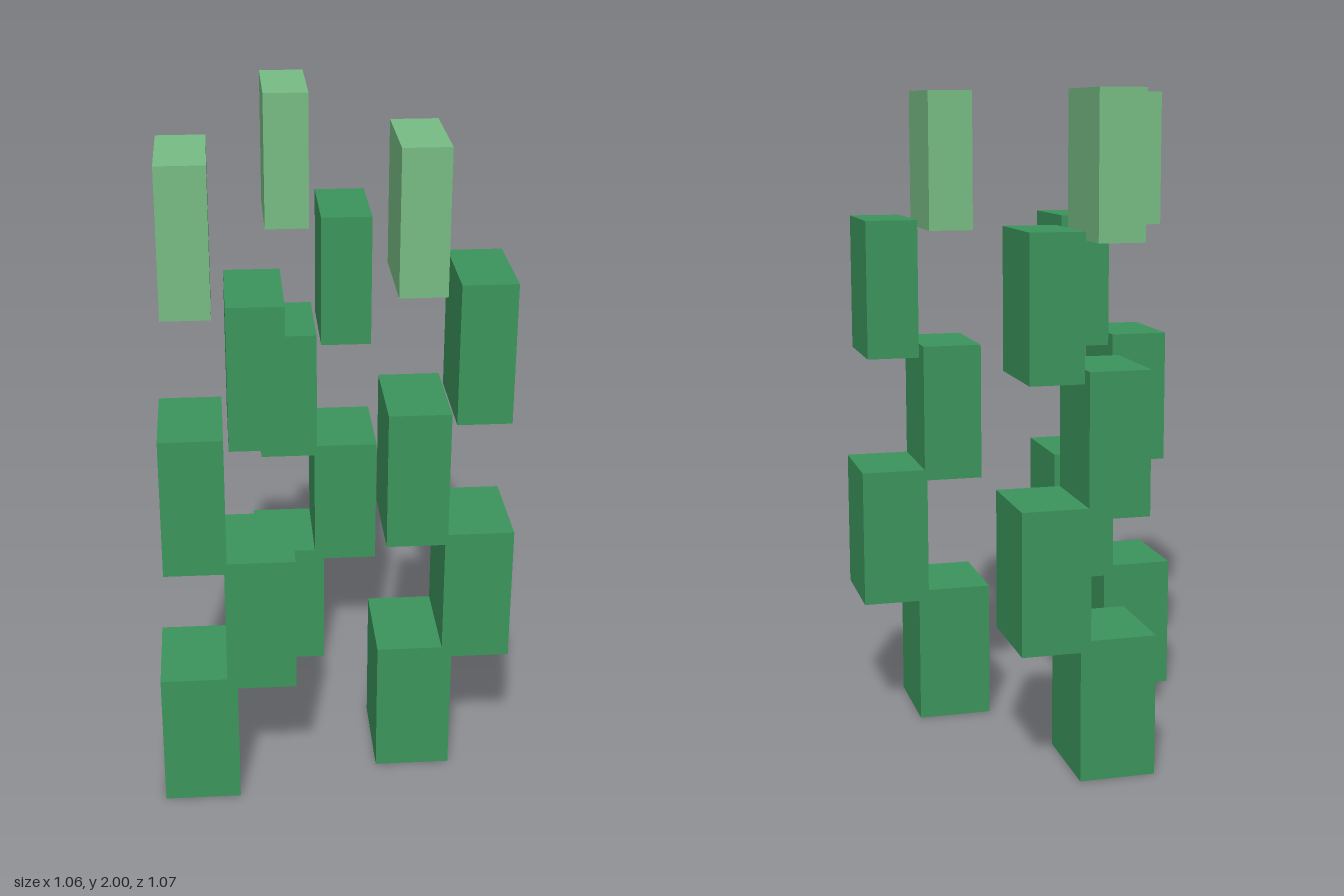
import * as THREE from 'three';

const leafGreen = new THREE.MeshStandardMaterial({ name: 'leafGreen', color: 0x3c965c });
const tipGreen = new THREE.MeshStandardMaterial({ name: 'tipGreen', color: 0x78be85 });

const SEGMENTS = 5, HEIGHT = 0.427, STEP = (2 - HEIGHT) / (SEGMENTS - 1);
const DEPTH = 0.304, SWAY = 0.187;

// One zigzag stalk: blocks narrow upwards and alternate sideways, ending in a pale tip
function createStalk(name, x, z) {
  const stalk = new THREE.Group();
  stalk.name = name;
  stalk.position.set(x, 0, z);
  for (let i = 0; i < SEGMENTS; i++) {
    const isTip = i === SEGMENTS - 1;
    const width = 0.229 - 0.0227 * i;
    const block = new THREE.Mesh(
      new THREE.BoxGeometry(width, HEIGHT, DEPTH),
      isTip ? tipGreen : leafGreen
    );
    block.name = isTip ? 'stalkTip' : `stalkSegment${i + 1}`;
    block.position.set((i % 2) * SWAY, HEIGHT / 2 + i * STEP, 0);
    stalk.add(block);
  }
  return stalk;
}

export function createModel() {
  const model = new THREE.Group();
  model.name = 'zigzagPlant';
  model.add(
    createStalk('frontRightStalk', -0.419, 0.381),
    createStalk('frontLeftStalk', 0.241, 0.253),
    createStalk('backStalk', -0.108, -0.381)
  );
  return model;
}
